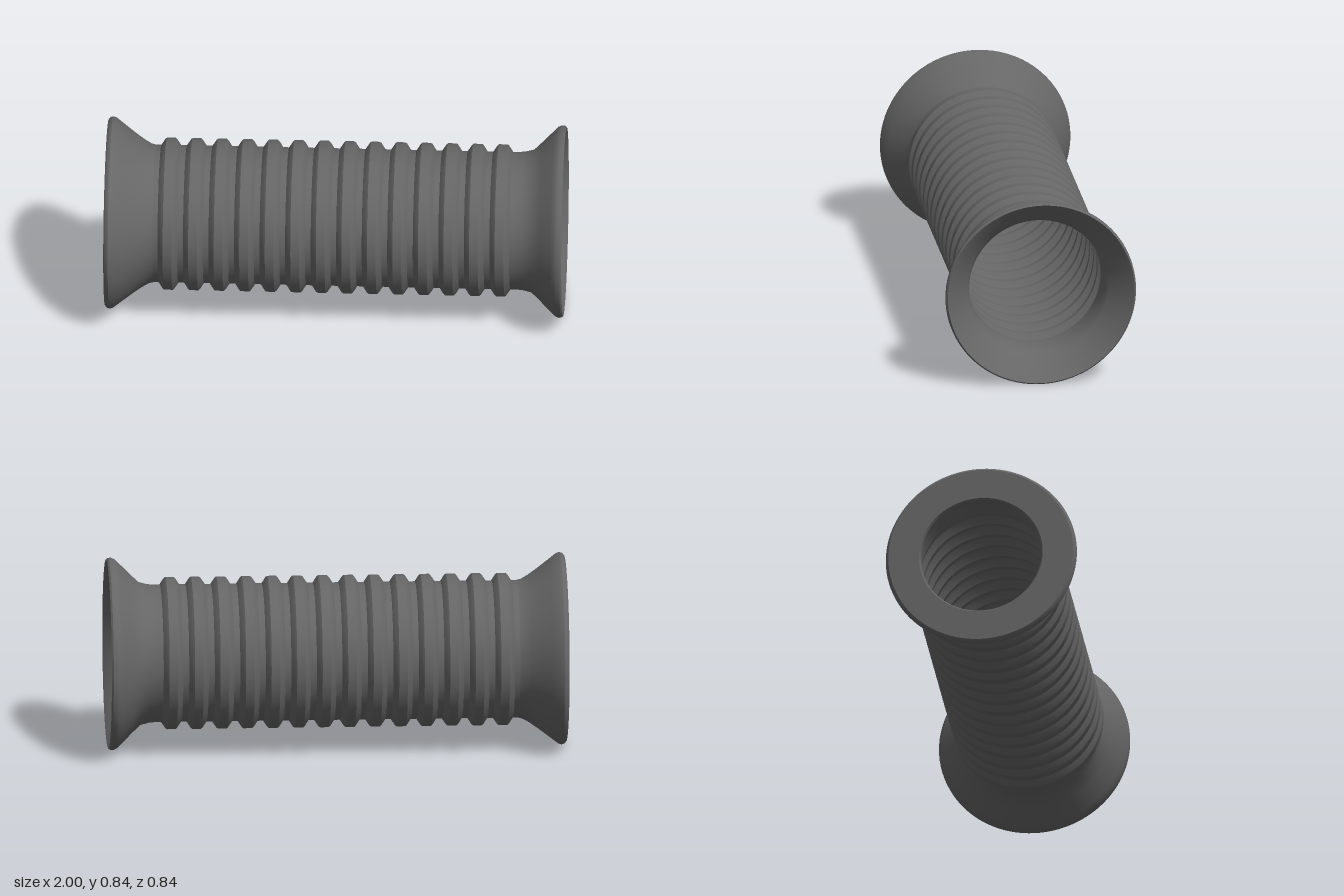
import * as THREE from 'three';
import { toCreasedNormals } from 'three/addons/utils/BufferGeometryUtils.js';

const rubber = new THREE.MeshStandardMaterial({ color: 0x666666 });
rubber.name = 'greyRubber';

// Revolve [x, radius] points about the hose axis (x)
function revolve(name, points) {
  const profile = points.map(([x, r]) => new THREE.Vector2(r, x));
  const geometry = toCreasedNormals(new THREE.LatheGeometry(profile, 96), 0.6);
  geometry.rotateZ(-Math.PI / 2);
  const mesh = new THREE.Mesh(geometry, rubber);
  mesh.name = name;
  return mesh;
}

export function createModel() {
  const group = new THREE.Group();
  group.name = 'bellowsHose';
  const wall = 0.005;
  const end = 0.79;

  // Corrugated tube: outer ridges and the matching inner wall
  const ridges = 14, pitch = 0.1115;
  const outer = [[-end, 0.3]];
  for (let i = 0; i < ridges; i++) {
    const x = (i - (ridges - 1) / 2) * pitch;
    outer.push([x - 0.043, 0.3], [x - 0.025, 0.327], [x - 0.019, 0.332],
      [x + 0.019, 0.332], [x + 0.025, 0.327], [x + 0.043, 0.3]);
  }
  outer.push([end, 0.3]);
  const inner = outer.map(([x, r]) => [x, r - wall]).reverse();
  group.add(revolve('corrugatedTubeOutside', outer));
  group.add(revolve('corrugatedTubeInside', inner));

  // Flat-faced flange with an inward lip
  group.add(revolve('flatFlange', [
    [-end, 0.295], [-0.86, 0.322], [-0.93, 0.37], [-0.965, 0.385],
    [-0.96, 0.32], [-0.945, 0.272], [-0.955, 0.265], [-0.99, 0.265],
    [-1, 0.272], [-1, 0.406], [-0.992, 0.416], [-0.98, 0.42], [-0.965, 0.415],
    [-0.93, 0.388], [-0.88, 0.35], [-0.84, 0.322], [-0.81, 0.305], [-end, 0.3],
  ]));

  // Open funnel with a rounded rim
  group.add(revolve('openFunnel', [
    [end, 0.3], [0.82, 0.302], [0.86, 0.312], [0.9, 0.35], [0.95, 0.4],
    [0.965, 0.414], [0.98, 0.42], [0.992, 0.419], [1, 0.412],
    [0.99, 0.4], [0.9, 0.315], [0.875, 0.3], [end, 0.295],
  ]));

  group.position.y = 0.42;
  const root = new THREE.Group();
  root.add(group);
  return root;
}
